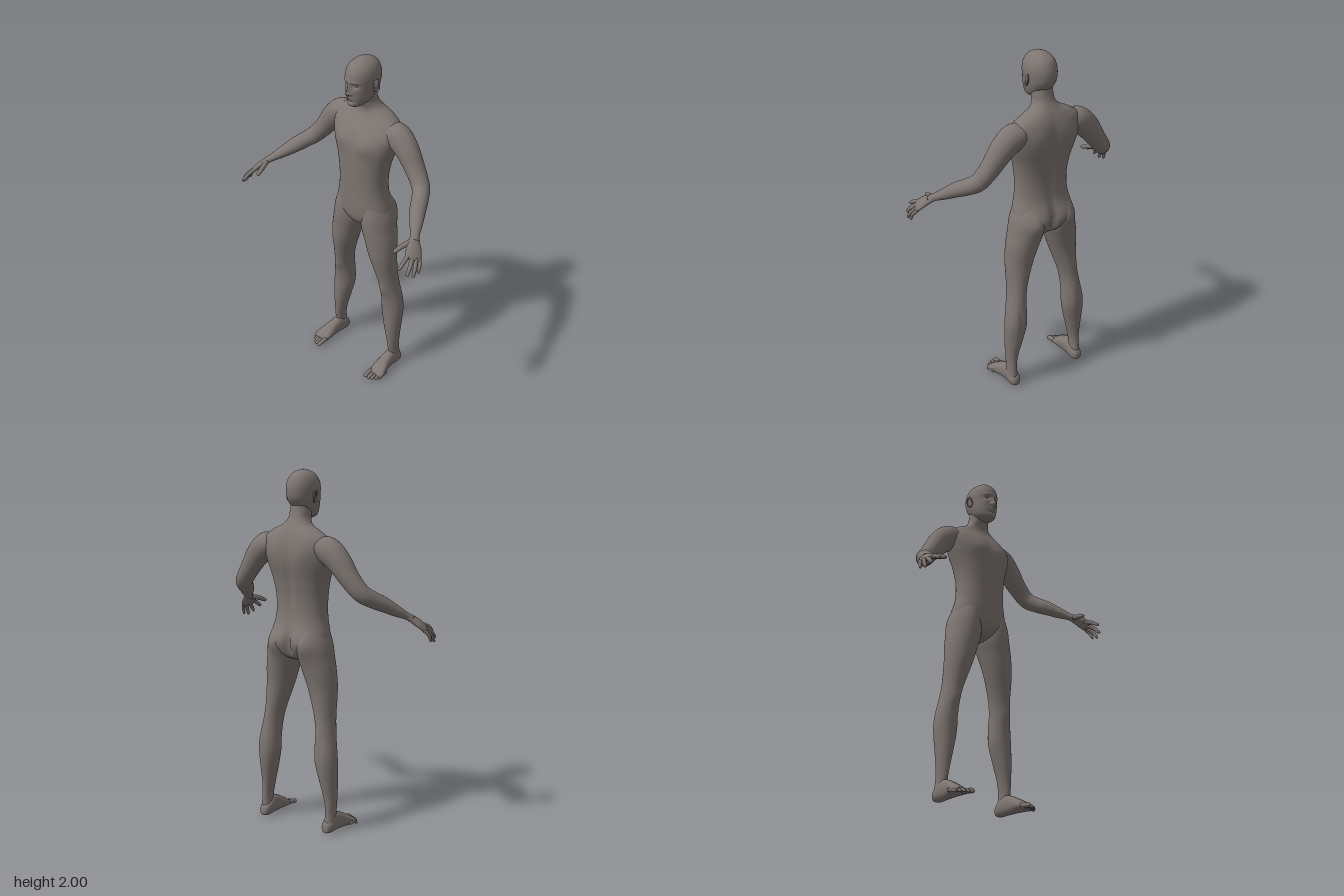
import * as THREE from 'three';

const V3 = (x, y, z) => new THREE.Vector3(x, y, z);
const UPRIGHT = [V3(1, 0, 0), V3(0, 0, -1)]; // horizontal rings, keys run upwards
const FORWARD = [V3(1, 0, 0), V3(0, 1, 0)];  // rings facing +z, keys run forwards

// Smooth skin through cross-section keys [x, y, z, radiusU, radiusV].
// frame: a fixed [U, V] pair, or one vector that rings following the path keep as their V side.
function loft(keys, frame, { side = 1, segs = 32, sub = 6, power = 2 } = {}) {
  const path = new THREE.CatmullRomCurve3(keys.map(k => V3(k[0] * side, k[1], k[2])), false, 'catmullrom', 0.5);
  const size = new THREE.CatmullRomCurve3(keys.map(k => V3(k[3], k[4], 0)), false, 'catmullrom', 0.5);
  const rows = (keys.length - 1) * sub, pos = [], index = [];
  const fixed = Array.isArray(frame);
  const ref = fixed ? null : V3(frame.x * side, frame.y, frame.z);
  const soft = v => Math.sign(v) * Math.pow(Math.abs(v), 2 / power);
  for (let i = 0; i <= rows; i++) {
    const c = path.getPoint(i / rows), r = size.getPoint(i / rows);
    let [U, V] = fixed ? frame : [];
    if (!fixed) {
      const T = path.getTangent(i / rows);
      U = T.clone().cross(ref).normalize();
      V = T.clone().cross(U);
    }
    for (let j = 0; j < segs; j++) {
      const a = j / segs * Math.PI * 2;
      const p = c.clone().addScaledVector(U, soft(Math.cos(a)) * r.x).addScaledVector(V, soft(Math.sin(a)) * r.y);
      pos.push(p.x, p.y, p.z);
    }
  }
  for (let i = 0; i < rows; i++) for (let j = 0; j < segs; j++) {
    const a = i * segs + j, b = i * segs + (j + 1) % segs;
    index.push(a, b, a + segs, b, b + segs, a + segs);
  }
  // end caps
  const first = path.getPoint(0), last = path.getPoint(1), n = (rows + 1) * segs;
  pos.push(first.x, first.y, first.z, last.x, last.y, last.z);
  for (let j = 0; j < segs; j++) {
    const k = (j + 1) % segs;
    index.push(n, k, j, n + 1, rows * segs + j, rows * segs + k);
  }
  const geo = new THREE.BufferGeometry();
  geo.setAttribute('position', new THREE.Float32BufferAttribute(pos, 3));
  geo.setIndex(index);
  geo.computeVertexNormals();
  return geo;
}

// Push the skin along z with soft bumps [x, y, z, radiusX, radiusY, radiusZ, amount], mirrored in x.
function sculpt(geo, bumps) {
  const all = bumps.flatMap(b => b[0] ? [b, [-b[0], ...b.slice(1)]] : [b]);
  const p = geo.attributes.position;
  for (let i = 0; i < p.count; i++) {
    const x = p.getX(i), y = p.getY(i), z = p.getZ(i);
    let dz = 0;
    for (const [bx, by, bz, rx, ry, rz, d] of all)
      dz += d * Math.exp(-(((x - bx) / rx) ** 2) - ((y - by) / ry) ** 2 - ((z - bz) / rz) ** 2);
    p.setZ(i, z + dz);
  }
  geo.computeVertexNormals();
  return geo;
}

export function createModel() {
  const group = new THREE.Group();
  group.name = 'standingFigure';
  const skin = new THREE.MeshStandardMaterial({ color: 0x7d7571 });
  skin.name = 'warm grey skin';
  const add = (name, geo) => {
    const mesh = new THREE.Mesh(geo, skin);
    mesh.name = name;
    group.add(mesh);
    return mesh;
  };

  const glute = [0.085, 1.07, -0.25, 0.07, 0.075, 0.09, -0.03];

  // torso and neck
  add('torso', sculpt(loft([
    [0, 0.965, -0.13, 0.02, 0.04], [0, 0.99, -0.13, 0.09, 0.085], [0, 1.04, -0.125, 0.16, 0.108],
    [0, 1.1, -0.122, 0.178, 0.112], [0, 1.2, -0.112, 0.156, 0.105], [0, 1.3, -0.11, 0.153, 0.105],
    [0, 1.4, -0.115, 0.168, 0.114], [0, 1.5, -0.125, 0.2, 0.122], [0, 1.58, -0.137, 0.218, 0.112],
    [0, 1.64, -0.152, 0.2, 0.088], [0, 1.68, -0.155, 0.145, 0.07], [0, 1.71, -0.147, 0.085, 0.061],
    [0, 1.745, -0.13, 0.06, 0.058], [0, 1.78, -0.12, 0.057, 0.058], [0, 1.83, -0.115, 0.052, 0.055],
  ], UPRIGHT, { segs: 72, power: 2.25 }), [
    glute,
    [0, 1.06, -0.25, 0.016, 0.07, 0.08, 0.03],      // cleft
    [0, 1.4, -0.24, 0.022, 0.2, 0.05, 0.014],       // spine
    [0.1, 1.56, -0.25, 0.06, 0.08, 0.06, -0.01],    // shoulder blade
    [0.085, 1.52, -0.01, 0.065, 0.05, 0.06, 0.012], // chest
    [0, 1.52, 0, 0.018, 0.07, 0.06, -0.005],        // breastbone
    [0, 1.22, 0, 0.01, 0.012, 0.04, -0.004],        // navel
  ]));

  // head with sculpted face
  add('head', sculpt(loft([
    [0, 1.738, -0.04, 0.018, 0.022], [0, 1.752, -0.052, 0.042, 0.05], [0, 1.775, -0.068, 0.059, 0.07],
    [0, 1.81, -0.083, 0.07, 0.09], [0, 1.85, -0.096, 0.076, 0.104], [0, 1.9, -0.098, 0.08, 0.109],
    [0, 1.94, -0.098, 0.074, 0.1], [0, 1.97, -0.1, 0.058, 0.08], [0, 1.99, -0.1, 0.034, 0.048],
    [0, 2.0, -0.1, 0.006, 0.009],
  ], UPRIGHT, { segs: 112, sub: 9, power: 2.15 }), [
    [0, 1.827, 0.01, 0.012, 0.013, 0.04, 0.024],     // nose tip
    [0, 1.852, 0.01, 0.009, 0.024, 0.04, 0.014],     // nose bridge
    [0.014, 1.823, 0.01, 0.007, 0.007, 0.04, 0.009], // nostril wing
    [0.032, 1.87, 0, 0.017, 0.012, 0.05, -0.014],    // eye socket
    [0.03, 1.89, 0, 0.026, 0.008, 0.05, 0.005],      // brow
    [0.045, 1.84, -0.02, 0.018, 0.016, 0.05, 0.004], // cheek
    [0, 1.801, 0.01, 0.02, 0.005, 0.04, 0.009],      // upper lip
    [0, 1.788, 0.01, 0.018, 0.005, 0.04, 0.009],     // lower lip
    [0, 1.776, 0.01, 0.02, 0.006, 0.04, -0.004],     // below the lip
    [0, 1.757, 0, 0.02, 0.013, 0.04, 0.008],         // chin
  ]));

  for (const side of [1, -1]) {
    const tag = side > 0 ? 'left' : 'right';

    // eyeball and ear
    const eye = add(tag + 'Eye', new THREE.SphereGeometry(0.011, 20, 14));
    eye.position.set(0.031 * side, 1.869, -0.019);
    const ear = add(tag + 'Ear', new THREE.SphereGeometry(1, 20, 16));
    ear.scale.set(0.008, 0.031, 0.017);
    ear.position.set(0.082 * side, 1.857, -0.105);
    ear.rotation.set(-0.2, -0.35 * side, 0);
    const rim = add(tag + 'EarRim', new THREE.TorusGeometry(0.016, 0.004, 8, 24));
    rim.scale.set(1, 1.7, 1);
    rim.position.set(0.087 * side, 1.858, -0.107);
    rim.rotation.set(-0.2, Math.PI / 2 - 0.35 * side, 0, 'YXZ');

    // leg
    add(tag + 'Leg', sculpt(loft([
      [0.225, 0.04, -0.16, 0.031, 0.036], [0.225, 0.12, -0.148, 0.026, 0.041], [0.22, 0.2, -0.145, 0.035, 0.045],
      [0.21, 0.3, -0.15, 0.05, 0.057], [0.2, 0.4, -0.157, 0.064, 0.064], [0.195, 0.48, -0.156, 0.061, 0.066],
      [0.185, 0.58, -0.143, 0.053, 0.066], [0.171, 0.67, -0.13, 0.057, 0.071], [0.148, 0.8, -0.117, 0.078, 0.085],
      [0.128, 0.9, -0.12, 0.092, 0.097], [0.109, 0.98, -0.123, 0.097, 0.107], [0.102, 1.06, -0.125, 0.09, 0.108],
      [0.092, 1.14, -0.12, 0.072, 0.09], [0.085, 1.2, -0.115, 0.05, 0.065],
    ], UPRIGHT, { side, segs: 40 }), [
      glute,
      [0.185, 0.575, -0.08, 0.03, 0.035, 0.04, 0.008], // kneecap
      [0.2, 0.47, -0.22, 0.012, 0.08, 0.05, 0.006],    // calf groove
    ]));

    // foot and toes
    add(tag + 'Foot', loft([
      [0.222, 0.03, -0.206, 0.008, 0.012], [0.222, 0.034, -0.198, 0.024, 0.028], [0.222, 0.042, -0.17, 0.034, 0.042],
      [0.223, 0.055, -0.125, 0.034, 0.055], [0.226, 0.05, -0.08, 0.036, 0.049], [0.231, 0.038, -0.03, 0.045, 0.036],
      [0.236, 0.026, 0.008, 0.05, 0.024], [0.234, 0.018, 0.035, 0.042, 0.013],
    ], FORWARD, { side, power: 2.3 }));
    [[0.2, 0.08, 0.014], [0.224, 0.077, 0.0105], [0.243, 0.067, 0.01], [0.261, 0.053, 0.0095], [0.276, 0.035, 0.0095]]
      .forEach(([x, z, r], i) => add(`${tag}Toe${i + 1}`, loft([
        [x, 0.024, z - 0.065, r, r], [x, 0.02, z - 0.03, r * 0.9, r], [x, r + 0.002, z - 0.01, r, r],
        [x, r, z - 0.002, r * 0.7, r * 0.65], [x, r, z + 0.002, r * 0.2, r * 0.2],
      ], FORWARD, { side, segs: 14, sub: 4 })));

    // arm
    add(tag + 'Arm', loft([
      [0.12, 1.605, -0.152, 0.05, 0.045], [0.165, 1.597, -0.153, 0.068, 0.062], [0.215, 1.578, -0.154, 0.07, 0.074],
      [0.275, 1.527, -0.152, 0.063, 0.068], [0.342, 1.44, -0.145, 0.054, 0.055], [0.4, 1.37, -0.125, 0.049, 0.049],
      [0.438, 1.335, -0.08, 0.046, 0.045], [0.472, 1.305, -0.025, 0.044, 0.041], [0.515, 1.266, 0.034, 0.035, 0.031],
      [0.548, 1.237, 0.08, 0.025, 0.021], [0.568, 1.22, 0.108, 0.025, 0.018],
    ], V3(0, 1, 0), { side }));

    // palm
    const backOfHand = V3(0.58, 0.81, 0.1);
    add(tag + 'Palm', loft([
      [0.545, 1.24, 0.075, 0.022, 0.017], [0.568, 1.219, 0.105, 0.029, 0.018], [0.592, 1.194, 0.135, 0.042, 0.018],
      [0.61, 1.172, 0.157, 0.045, 0.015], [0.621, 1.16, 0.17, 0.038, 0.009], [0.625, 1.156, 0.175, 0.012, 0.003],
    ], backOfHand, { side, segs: 28 }));

    // fingers: base, middle joint, tip
    const fingers = {
      Thumb: [[0.562, 1.22, 0.115], [0.541, 1.205, 0.17], [0.527, 1.184, 0.22], 0.014],
      IndexFinger: [[0.592, 1.182, 0.173], [0.602, 1.163, 0.22], [0.606, 1.135, 0.265], 0.0115],
      MiddleFinger: [[0.61, 1.17, 0.165], [0.632, 1.14, 0.206], [0.641, 1.102, 0.24], 0.0115],
      RingFinger: [[0.624, 1.161, 0.152], [0.645, 1.127, 0.182], [0.655, 1.085, 0.208], 0.011],
      LittleFinger: [[0.632, 1.157, 0.134], [0.651, 1.128, 0.154], [0.658, 1.092, 0.169], 0.0095],
    };
    for (const [name, [a, b, c, r]] of Object.entries(fingers)) {
      const mix = t => b.map((v, i) => v + (c[i] - v) * t);
      add(tag + name, loft([
        [...a, r * 1.1, r * 1.1], [...b, r, r], [...mix(0.6), r * 0.85, r * 0.85],
        [...mix(0.92), r * 0.65, r * 0.65], [...c, r * 0.2, r * 0.2],
      ], backOfHand, { side, segs: 14, sub: 5 }));
    }
  }
  return group;
}
